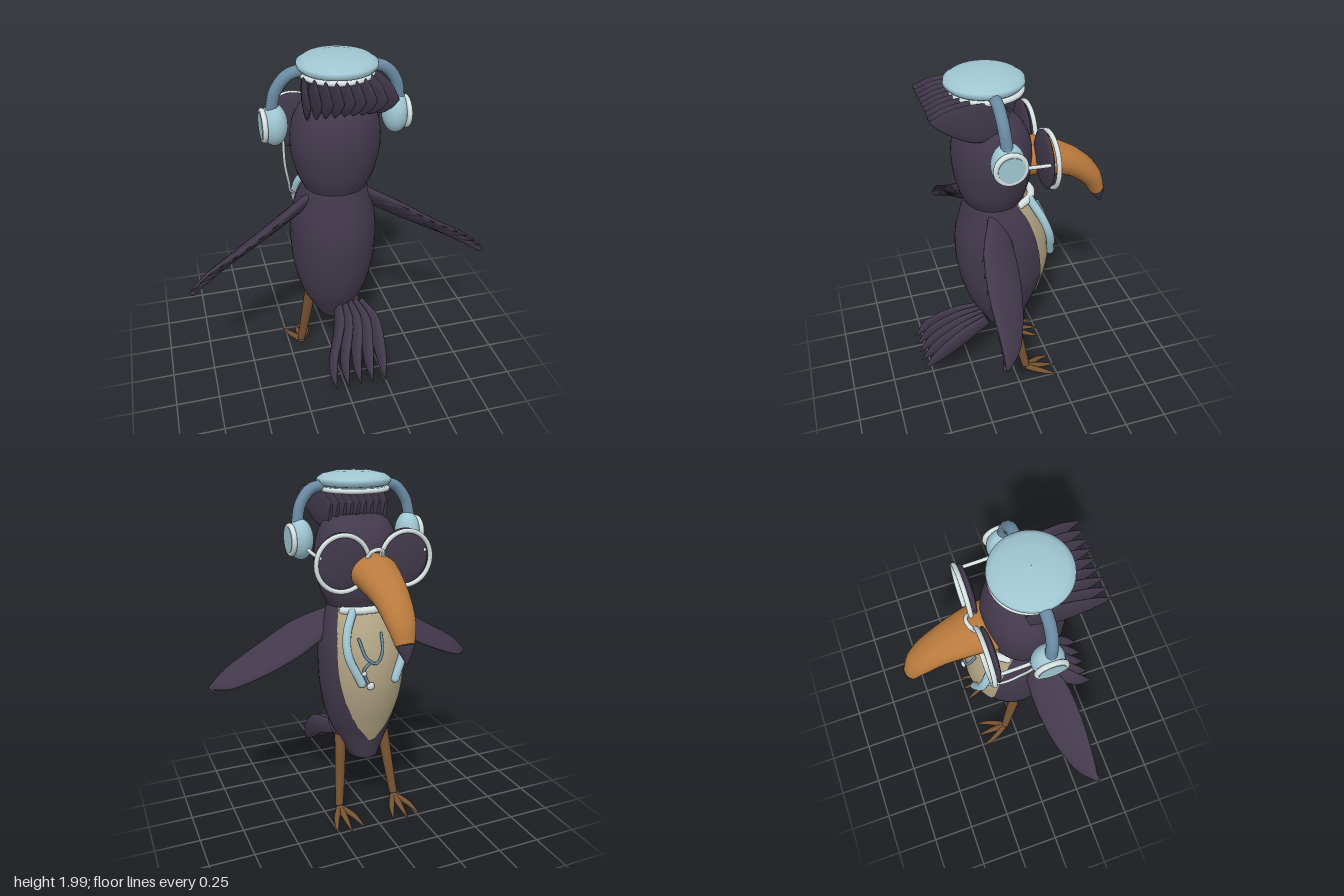
import * as THREE from 'three';

const V = (x, y, z) => new THREE.Vector3(x, y, z);
const mat = (name, color, side = THREE.FrontSide) => {
  const m = new THREE.MeshStandardMaterial({ color, side });
  m.name = name;
  return m;
};

// Skin a list of point rows; closed rows wrap around and get capped ends
function skin(rows, closed) {
  if (closed) {
    const cap = (row) => {
      const c = row.reduce((s, p) => s.add(p), V(0, 0, 0)).divideScalar(row.length);
      return row.map(() => c);
    };
    const a = rows[0], b = rows[rows.length - 1];
    rows = [cap(a), a, ...rows, b, cap(b)];
  }
  const n = rows[0].length, index = [];
  for (let i = 0; i < rows.length - 1; i++)
    for (let j = 0; j < (closed ? n : n - 1); j++) {
      const k = (j + 1) % n, p = i * n, q = p + n;
      index.push(p + j, p + k, q + k, p + j, q + k, q + j);
    }
  const g = new THREE.BufferGeometry().setFromPoints(rows.flat());
  g.setIndex(index);
  g.computeVertexNormals();
  return g;
}

const spline = (pts) => new THREE.CatmullRomCurve3(pts, false, 'catmullrom', 0.5);

// Oval loft along a path: half-width vectors and thicknesses at each point
function loft(path, halves, thick, segs = 16, around = 14) {
  const c = spline(path), h = spline(halves), th = spline(thick.map((t) => V(t, 0, 0)));
  const rows = [];
  for (let i = 0; i <= segs; i++) {
    const t = i / segs, o = c.getPoint(t), a = h.getPoint(t);
    const b = c.getTangent(t).cross(a).normalize().multiplyScalar(Math.max(th.getPoint(t).x, 0.0005));
    rows.push(Array.from({ length: around }, (_, j) => {
      const q = (j / around) * Math.PI * 2;
      return o.clone().addScaledVector(a, Math.cos(q)).addScaledVector(b, Math.sin(q));
    }));
  }
  return skin(rows, true);
}

// Upright oval form from rows of [y, half width, back z, front z, patch angle]
function trunk(profile, patch = false) {
  const size = spline(profile.map(([y, w, b, f]) => V(y, w, (b - f) / 2)));
  const extra = spline(profile.map(([, , b, f, ang]) => V((b + f) / 2, ang || 0, 0)));
  const rows = [], segs = 36, n = 40;
  for (let i = 0; i <= segs; i++) {
    const s = size.getPoint(i / segs), e = extra.getPoint(i / segs);
    rows.push(Array.from({ length: n }, (_, j) => {
      const q = patch ? Math.PI + (j / (n - 1) * 2 - 1) * e.y * Math.PI / 180 : (j / n) * Math.PI * 2;
      const k = patch ? 0.006 : 0;
      return V((s.y + k) * Math.sin(q), s.x, e.x + (s.z + k) * Math.cos(q));
    }));
  }
  return skin(rows, !patch);
}

export function createModel() {
  const root = new THREE.Group();
  const plumage = mat('plumage', 0x42394b);
  const bellyMat = mat('belly buff', 0xafa283, THREE.DoubleSide);
  const beakMat = mat('beak orange', 0xb97a3d);
  const legMat = mat('leg brown', 0x765231);
  const sky = mat('light blue', 0xa0c6d2);
  const steel = mat('steel blue', 0x6b8ba3);
  const white = mat('off white', 0xd6e1e1);

  const add = (name, geo, m, x = 0, y = 0, z = 0) => {
    const mesh = new THREE.Mesh(geo, m);
    mesh.name = name;
    mesh.position.set(x, y, z);
    root.add(mesh);
    return mesh;
  };
  const tube = (name, pts, r, m) => {
    add(name, new THREE.TubeGeometry(new THREE.CatmullRomCurve3(pts), 28, r, 10), m);
    for (const p of [pts[0], pts[pts.length - 1]])
      add(name + 'End', new THREE.SphereGeometry(r, 10, 8), m, p.x, p.y, p.z);
  };

  // Body, belly patch and head
  const body = [
    [0.37, 0.09, 0.13, -0.1, 0], [0.5, 0.155, 0.2, -0.125, 7], [0.6, 0.195, 0.245, -0.16, 27],
    [0.75, 0.228, 0.287, -0.205, 43], [0.9, 0.24, 0.306, -0.226, 52], [1.05, 0.235, 0.303, -0.21, 55],
    [1.18, 0.205, 0.272, -0.155, 57], [1.28, 0.168, 0.245, -0.075, 57]];
  add('body', trunk(body), plumage);
  add('belly', trunk(body.slice(1), true), bellyMat);
  add('head', trunk([
    [1.27, 0.168, 0.245, -0.07], [1.36, 0.208, 0.28, -0.1], [1.5, 0.238, 0.302, -0.12],
    [1.62, 0.232, 0.295, -0.112], [1.71, 0.2, 0.26, -0.07], [1.755, 0.155, 0.215, -0.01],
    [1.77, 0.09, 0.16, 0.04]]), plumage);

  // Curved beak with dark tip
  const across = (w) => V(w, 0, 0);
  add('beak', loft(
    [V(0, 1.49, -0.08), V(0, 1.485, -0.18), V(0, 1.41, -0.36), V(0, 1.31, -0.475), V(0, 1.205, -0.53)],
    [0.14, 0.13, 0.1, 0.08, 0.052].map(across), [0.1, 0.096, 0.078, 0.062, 0.042], 24, 24), beakMat);
  add('beakTip', loft([V(0, 1.208, -0.53), V(0, 1.16, -0.546), V(0, 1.11, -0.555)],
    [0.053, 0.03, 0.003].map(across), [0.043, 0.027, 0.003], 8, 20), plumage);

  // Crest of upright blades
  for (let i = 0; i < 9; i++) {
    const x = (i - 4) * 0.05;
    add('crestFeather', loft(
      [V(x * 0.8, 1.77, 0.06), V(x * 0.9, 1.81, 0.2), V(x, 1.85, 0.35), V(x * 1.04, 1.865, 0.44)],
      [0.07, 0.1, 0.06, 0.008].map((h) => V(0, h, -h * 0.3)), [0.01, 0.016, 0.011, 0.002]), plumage);
  }

  // Tail feathers
  [-0.115, -0.045, 0.025, 0.095, 0.17].forEach((tip, i) => {
    const base = 0.0 + i * 0.032, mid = -0.035 + i * 0.052;
    add('tailFeather', loft(
      [V(base, 0.48, 0.17), V(mid, 0.435, 0.32), V(tip + 0.005, 0.32, 0.475), V(tip, 0.23, 0.575)],
      [0.045, 0.058, 0.045, 0.004].map((h) => V(h * 0.3, h, h * 0.45)), [0.015, 0.024, 0.02, 0.003]), plumage);
  });

  for (const s of [1, -1]) {
    // Wing: leading and trailing edges joined by a thin lens section
    const lead = [V(s * 0.15, 1.14, 0.05), V(s * 0.34, 1.015, 0.05), V(s * 0.54, 0.91, 0.085),
      V(s * 0.73, 0.825, 0.16), V(s * 0.835, 0.805, 0.255)];
    const trail = [V(s * 0.15, 1.25, 0.15), V(s * 0.34, 1.16, 0.235), V(s * 0.54, 1.035, 0.265),
      V(s * 0.73, 0.92, 0.265), V(s * 0.84, 0.815, 0.265)];
    add('wing', loft(lead.map((p, i) => p.clone().lerp(trail[i], 0.5)),
      lead.map((p, i) => trail[i].clone().sub(p).multiplyScalar(0.5)),
      [0.03, 0.03, 0.024, 0.016, 0.005], 28, 18), plumage);
    // Overlapping flight feathers beneath the trailing edge
    const L = spline(lead), T = spline(trail);
    for (let i = 0; i < 11; i++) {
      const t = i / 11, u = Math.min(1, t + 0.3);
      const a = L.getPoint(t).lerp(T.getPoint(t), 0.45), b = T.getPoint(u);
      const drop = V(0, -0.014, 0.01);
      const m = a.clone().lerp(b, 0.55).add(drop);
      add('flightFeather', loft([a.add(drop), m, b.add(V(0, -0.005, 0.008))],
        [0.012, 0.025, 0.003].map((h) => V(0, h * 0.8, h * 0.6)), [0.008, 0.011, 0.002], 8, 8), plumage);
    }

    // Leg and three toes
    add('leg', loft([V(s * 0.135, 0.5, 0.02), V(s * 0.155, 0.29, -0.02), V(s * 0.178, 0.075, -0.062)],
      [0.034, 0.03, 0.024].map(across), [0.032, 0.03, 0.024]), legMat);
    for (const k of [-1, 0, 1])
      add('toe', loft(
        [V(s * 0.178, 0.055, -0.06), V(s * 0.178 + k * 0.05, 0.04, -0.15), V(s * 0.178 + k * 0.083, 0.01, -0.26 + Math.abs(k) * 0.015)],
        [0.022, 0.018, 0.004].map(across), [0.018, 0.016, 0.004], 10, 10), legMat);

    // Headphone band and ear cup
    tube('headband', [V(s * 0.17, 1.93, 0.12), V(s * 0.25, 1.905, 0.12), V(s * 0.31, 1.83, 0.115), V(s * 0.335, 1.72, 0.105)], 0.031, steel);
    add('earCup', new THREE.SphereGeometry(1, 28, 18), sky, s * 0.32, 1.65, 0.1).scale.set(0.07, 0.11, 0.085);
    add('earRing', new THREE.TorusGeometry(0.075, 0.014, 10, 32).rotateY(Math.PI / 2), white, s * 0.375, 1.65, 0.1);
    add('earDisc', new THREE.CylinderGeometry(0.068, 0.068, 0.03, 28).rotateZ(Math.PI / 2), sky, s * 0.375, 1.65, 0.1);

    // Spectacles
    add('lens', new THREE.SphereGeometry(1, 28, 16), plumage, s * 0.18, 1.56, -0.137).scale.set(0.145, 0.155, 0.025);
    add('lensRing', new THREE.TorusGeometry(0.147, 0.013, 10, 40), white, s * 0.18, 1.555, -0.165);
    tube('templeArm', [V(s * 0.3, 1.605, 0.06), V(s * 0.3, 1.595, -0.03), V(s * 0.3, 1.59, -0.15)], 0.01, white);

    // Light blue chest tubes
    tube('chestTube', [V(s * 0.1, 1.27, -0.095), V(s * 0.155, 1.17, -0.15), V(s * 0.165, 1.06, -0.19), V(s * 0.1, 0.9, -0.222)], 0.024, sky);
  }
  tube('bridge', [V(-0.045, 1.58, -0.17), V(-0.03, 1.61, -0.19), V(0, 1.622, -0.2), V(0.03, 1.61, -0.19), V(0.045, 1.58, -0.17)], 0.011, white);

  // Flat cap with pale lower rim
  add('cap', new THREE.LatheGeometry([[0.001, 1.915], [0.16, 1.915], [0.19, 1.925], [0.204, 1.943],
    [0.2, 1.96], [0.17, 1.98], [0.1, 1.995], [0.001, 2]].map(([r, y]) => new THREE.Vector2(r, y)), 48), sky, 0, 0, 0.122);
  add('capRim', new THREE.TorusGeometry(0.178, 0.014, 10, 48).rotateX(Math.PI / 2), white, 0, 1.903, 0.112);
  add('capUnderside', new THREE.CylinderGeometry(0.175, 0.175, 0.016, 40), steel, 0, 1.908, 0.112);

  // Collar, audio cable and listening tubes
  tube('collar', [V(0.13, 1.265, -0.03), V(0.08, 1.275, -0.1), V(0, 1.28, -0.125), V(-0.08, 1.275, -0.1), V(-0.13, 1.265, -0.03)], 0.022, white);
  tube('cable', [V(-0.275, 1.56, 0.09), V(-0.265, 1.4, 0.06), V(-0.235, 1.25, 0), V(-0.215, 1.16, -0.08), V(-0.17, 1.08, -0.18)], 0.008, white);
  tube('listeningFork', [V(-0.03, 1.16, -0.185), V(-0.02, 1.07, -0.225), V(0.02, 1.01, -0.236), V(0.07, 1.04, -0.225), V(0.1, 1.14, -0.18)], 0.008, steel);
  tube('listeningStem', [V(0.05, 1.02, -0.23), V(0.09, 0.98, -0.23), V(0.08, 0.93, -0.232), V(0.06, 0.89, -0.238)], 0.008, steel);
  add('chestPiece', new THREE.SphereGeometry(0.022, 18, 12), white, 0.055, 0.885, -0.24).scale.z = 0.6;
  add('stemKnob', new THREE.SphereGeometry(0.014, 14, 10), white, 0.09, 0.96, -0.232);
  return root;
}
